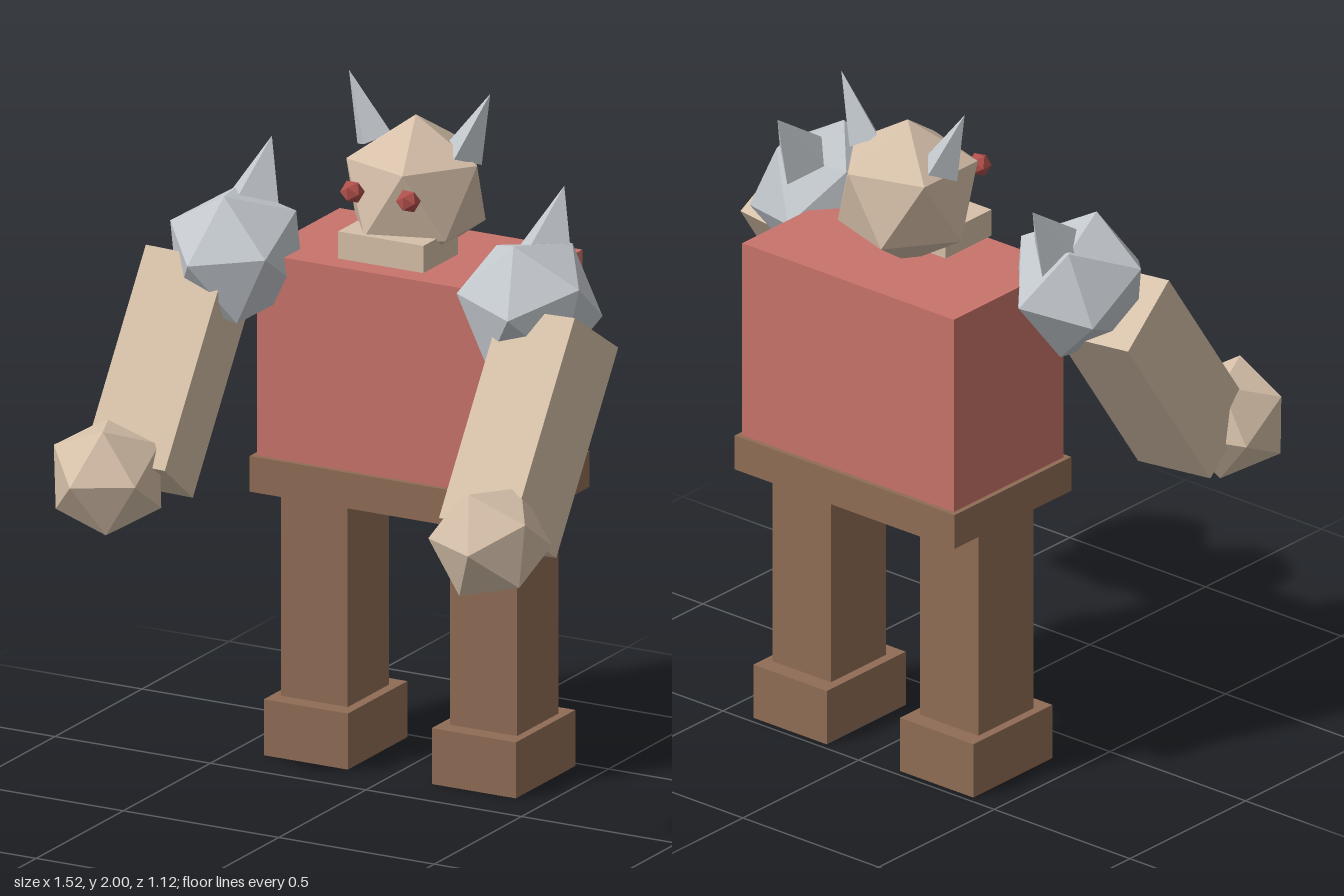
import * as THREE from 'three';

function material(name, color) {
  const m = new THREE.MeshStandardMaterial({ color });
  m.name = name;
  return m;
}

export function createModel() {
  const red = material('red cloth', 0xc8736a);
  const brown = material('brown leather', 0x8f6d56);
  const skin = material('tan skin', 0xd6c0a9);
  const steel = material('pale steel', 0xc4c9ce);
  const eyeRed = material('eye red', 0xb04f4b);

  const model = new THREE.Group();
  model.name = 'hornedGolem';

  function add(name, geometry, mat, x, y, z) {
    const mesh = new THREE.Mesh(geometry, mat);
    mesh.name = name;
    mesh.position.set(x, y, z);
    model.add(mesh);
    return mesh;
  }
  const box = (name, mat, w, h, d, x, y, z) =>
    add(name, new THREE.BoxGeometry(w, h, d), mat, x, y, z);
  const rock = (name, mat, r, x, y, z) =>
    add(name, new THREE.IcosahedronGeometry(r, 0), mat, x, y, z);

  // Four-sided spike with faceted normals
  function spike(name, r, h, x, y, z) {
    const g = new THREE.ConeGeometry(r, h, 4).toNonIndexed();
    g.computeVertexNormals();
    return add(name, g, steel, x, y, z);
  }

  // Body
  box('torso', red, 0.78, 0.6, 0.475, 0, 1.2, -0.308);
  box('belt', brown, 0.81, 0.105, 0.505, 0, 0.852, -0.308);

  // Head stands on one corner
  rock('head', skin, 0.22, 0, 1.69, -0.287).rotation.z = -0.5536;
  box('jaw', skin, 0.274, 0.08, 0.2, 0, 1.56, -0.185);

  for (const s of [1, -1]) {
    const side = s > 0 ? 'left' : 'right';

    // Face details and horns
    rock(side + 'Eye', eyeRed, 0.035, s * 0.09, 1.725, -0.083);
    spike(side + 'Horn', 0.06, 0.207, s * 0.186, 1.905, -0.308)
      .rotation.z = -s * 0.41;

    // Legs
    box(side + 'Leg', brown, 0.215, 0.625, 0.238, s * 0.272, 0.477, -0.308);
    box(side + 'Foot', brown, 0.27, 0.165, 0.342, s * 0.27, 0.0825, -0.308);

    // Arm swings forward
    box(side + 'Arm', skin, 0.25, 0.63, 0.25, s * 0.5775, 1.17, 0.0975)
      .rotation.set(-0.6, -s * 0.1, 0);
    rock(side + 'Fist', skin, 0.175, s * 0.615, 0.935, 0.385)
      .rotation.set(-0.57, s * 0.15, s * 0.24, 'ZYX');

    // Spiked shoulder guard
    rock(side + 'ShoulderGuard', steel, 0.212, s * 0.47, 1.475, -0.1)
      .rotation.set(-0.6, s * 0.22, s * 0.12, 'ZYX');
    spike(side + 'ShoulderSpike', 0.09, 0.21, s * 0.47, 1.683, -0.24)
      .rotation.x = -0.6;
  }
  return model;
}
